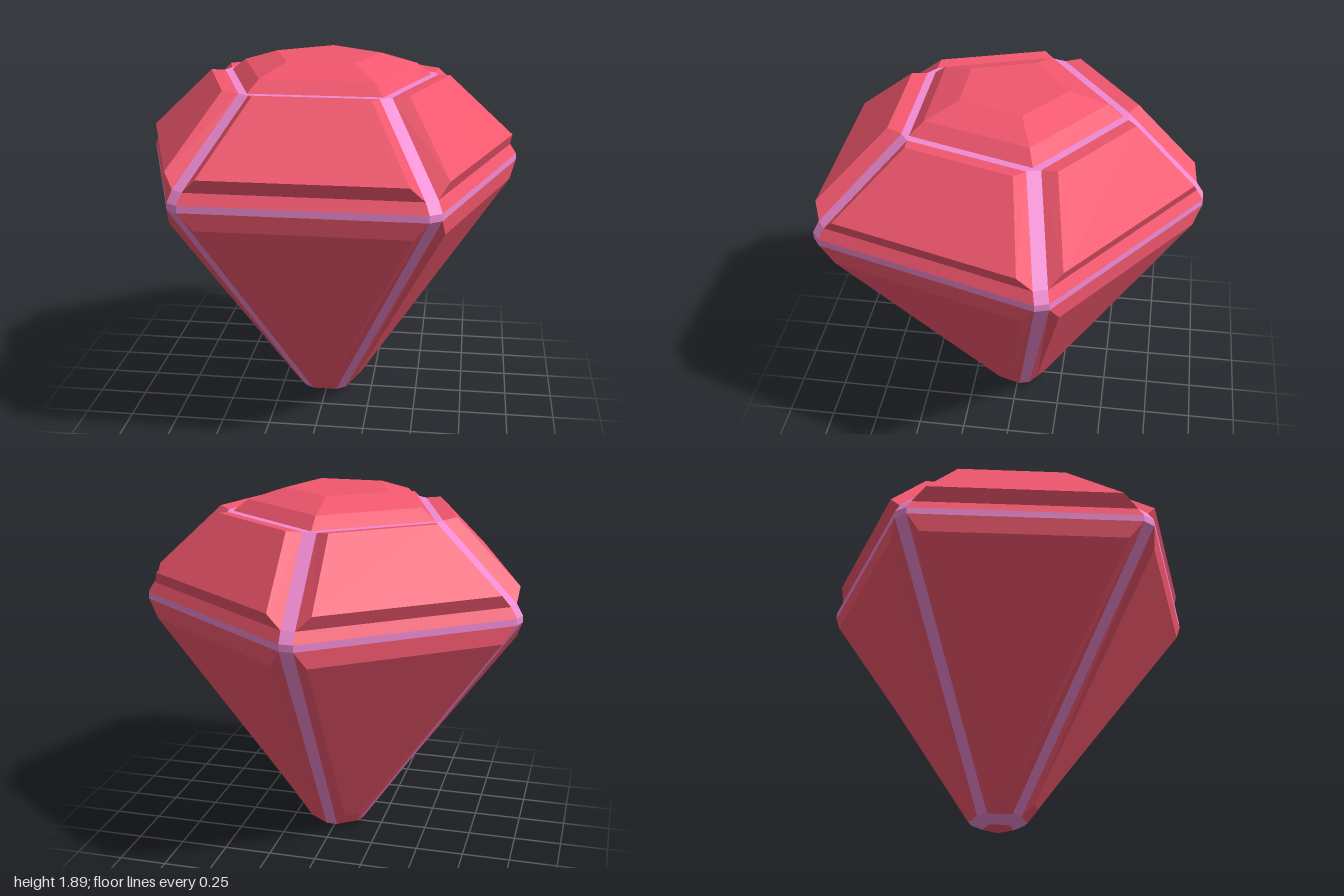
import * as THREE from 'three';

const STEP = (Math.PI * 2) / 5;
const HALF = STEP / 2;
const RED = 0xf2576e;
const PINK = 0xf08ad2;

// Point of side k: d = distance out from the axis, l = sideways offset, c = shift of the level in z
function sidePoint(k, d, l, y, c) {
  const a = k * STEP;
  return new THREE.Vector3(
    d * Math.sin(a) + l * Math.cos(a), y, d * Math.cos(a) - l * Math.sin(a) + c);
}

// Level with cut corners: r = corner radius, w = half width of the corner cut
const cutLevel = (r, w, y, c) => ({
  d: r * Math.cos(HALF) + w * Math.sin(HALF),
  l: r * Math.sin(HALF) - w * Math.cos(HALF), y, c });

const at = (k, level, s) => sidePoint(k, level.d, level.l * s, level.y, level.c);

// Levels of the body, bottom to top
const tip = cutLevel(0.085, 0, 0, 0);
const tipRing = cutLevel(0.15, 0.03, 0.035, 0);
const girdleLow = cutLevel(1.036, 0.035, 1.3, 0.086);
const girdleHigh = cutLevel(1.036, 0.035, 1.335, 0.086);
const crownFoot = cutLevel(1.0, 0.035, 1.39, 0.086);
const ringOuter = cutLevel(0.585, 0.035, 1.77, 0.04);
const ringInner = cutLevel(0.56, 0, 1.77, 0.04);
const shoulder = cutLevel(0.48, 0, 1.83, 0.04);
const table = cutLevel(0.287, 0, 1.89, 0.04);

// Edges of the raised panels
const lowerPanelBottom = { d: 0.19, l: 0.04, y: 0.1, c: 0.01 };
const lowerPanelTop = { d: 0.85, l: 0.51, y: 1.21, c: 0.08 };
const upperPanelBottom = { d: 0.859, l: 0.49, y: 1.46, c: 0.086 };
const upperPanelTop = { d: 0.57, l: 0.285, y: 1.78, c: 0.04 };

// Collects flat facets, each turned to face away from the middle of the gem
class Facets {
  constructor() {
    this.positions = [];
    this.middle = new THREE.Vector3(0, 1.1, 0.05);
  }

  tri(a, b, c) {
    const n = b.clone().sub(a).cross(c.clone().sub(a));
    if (n.length() < 1e-7) return;
    const out = a.clone().add(b).add(c).divideScalar(3).sub(this.middle);
    const order = n.dot(out) < 0 ? [a, c, b] : [a, b, c];
    for (const p of order) this.positions.push(p.x, p.y, p.z);
  }

  quad(a, b, c, d) {
    this.tri(a, b, c);
    this.tri(a, c, d);
  }

  // Facet across one side, between two levels
  band(k, low, high) {
    this.quad(at(k, low, -1), at(k, low, 1), at(k, high, 1), at(k, high, -1));
  }

  // Facet across the corner between side k and the next
  corner(k, low, high) {
    this.quad(at(k, low, 1), at(k + 1, low, -1), at(k + 1, high, -1), at(k, high, 1));
  }

  // Slopes along both flanks of a panel, out to the neighbouring ridges
  flanks(k, panelLow, panelHigh, low, high) {
    for (const s of [-1, 1]) {
      this.quad(at(k, panelLow, s), at(k, low, s), at(k, high, s), at(k, panelHigh, s));
    }
  }

  mesh(name, color) {
    const geometry = new THREE.BufferGeometry();
    geometry.setAttribute('position', new THREE.Float32BufferAttribute(this.positions, 3));
    geometry.computeVertexNormals();
    const mesh = new THREE.Mesh(
      geometry, new THREE.MeshStandardMaterial({ color, flatShading: true }));
    mesh.name = name;
    return mesh;
  }
}

export function createModel() {
  const gem = new THREE.Group();
  gem.name = 'gem';

  // Repeats a facet rule round the five sides
  const part = (name, color, rule) => {
    const facets = new Facets();
    for (let k = 0; k < 5; k++) rule(facets, k);
    gem.add(facets.mesh(name, color));
  };

  // Large raised panels below and above the girdle
  part('lowerPanels', RED, (f, k) => f.band(k, lowerPanelBottom, lowerPanelTop));
  part('upperPanels', RED, (f, k) => f.band(k, upperPanelBottom, upperPanelTop));

  // Bevels framing the panels
  part('lowerBevels', RED, (f, k) => {
    f.band(k, tipRing, lowerPanelBottom);
    f.band(k, lowerPanelTop, girdleLow);
    f.flanks(k, lowerPanelBottom, lowerPanelTop, tipRing, girdleLow);
  });
  part('upperBevels', RED, (f, k) => {
    f.band(k, girdleHigh, crownFoot);
    f.band(k, crownFoot, upperPanelBottom);
    f.band(k, upperPanelTop, ringOuter);
    f.flanks(k, upperPanelBottom, upperPanelTop, crownFoot, ringOuter);
  });

  // Stepped cap and the small flat foot
  part('topCap', RED, (f, k) => {
    f.band(k, ringInner, shoulder);
    f.band(k, shoulder, table);
    f.tri(new THREE.Vector3(0, table.y, table.c), at(k, table, -1), at(k, table, 1));
  });
  part('bottomTip', RED, (f, k) => {
    f.tri(new THREE.Vector3(0, 0, 0), at(k, tip, -1), at(k, tip, 1));
  });

  // Bright edge lines
  part('lowerRidges', PINK, (f, k) => f.corner(k, tipRing, girdleLow));
  part('upperRidges', PINK, (f, k) => {
    f.corner(k, girdleHigh, crownFoot);
    f.corner(k, crownFoot, ringOuter);
  });
  const rings = [
    ['girdle', girdleLow, girdleHigh],
    ['topRing', ringOuter, ringInner],
    ['bottomRing', tip, tipRing],
  ];
  for (const [name, low, high] of rings) {
    part(name, PINK, (f, k) => {
      f.band(k, low, high);
      f.corner(k, low, high);
    });
  }
  return gem;
}
